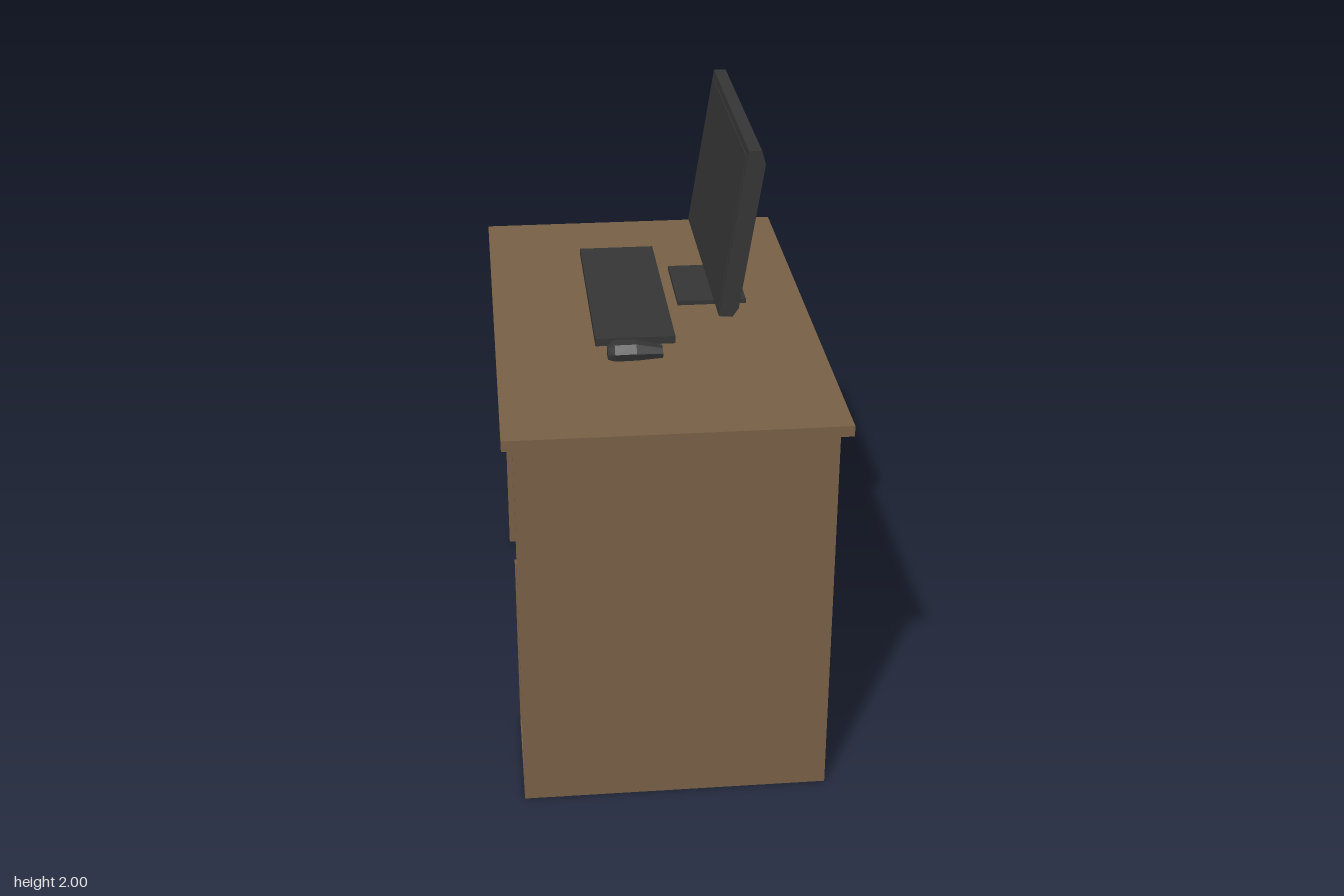
import * as THREE from 'three';
import { ConvexGeometry } from 'three/addons/geometries/ConvexGeometry.js';

export function createModel() {
  const model = new THREE.Group();
  model.name = 'computerDesk';

  const material = (name, color) => {
    const m = new THREE.MeshStandardMaterial({ color });
    m.name = name;
    return m;
  };
  const wood = material('brownWood', 0x7a6147);
  const charcoal = material('charcoalPlastic', 0x363636);

  const add = (name, geometry, mat, parent) => {
    const mesh = new THREE.Mesh(geometry, mat);
    mesh.name = name;
    parent.add(mesh);
    return mesh;
  };
  // Box given by its limits on each axis
  const box = (name, mat, parent, [x0, x1], [y0, y1], [z0, z1]) => {
    const mesh = add(name, new THREE.BoxGeometry(x1 - x0, y1 - y0, z1 - z0), mat, parent);
    mesh.position.set((x0 + x1) / 2, (y0 + y1) / 2, (z0 + z1) / 2);
    return mesh;
  };
  // Side outline in x and y, extruded along z
  const extrude = (name, mat, parent, points, z0, z1) => {
    const shape = new THREE.Shape(points.map(([x, y]) => new THREE.Vector2(x, y)));
    const geometry = new THREE.ExtrudeGeometry(shape, { depth: z1 - z0, bevelEnabled: false });
    return add(name, geometry.translate(0, 0, z0), mat, parent);
  };
  const group = (name) => {
    const g = new THREE.Group();
    g.name = name;
    model.add(g);
    return g;
  };

  // Desk: top, two end panels and a back panel
  const desk = group('desk');
  box('deskTop', wood, desk, [-0.53, 0.53], [1.3, 1.335], [-0.88, 0.88]);
  for (const s of [-1, 1]) {
    const panel = box('endPanel', wood, desk, [-0.495, 0.495], [0, 1.3], [0.815, 0.845]);
    panel.position.z *= s;
  }
  box('backPanel', wood, desk, [0.465, 0.495], [0, 1.3], [-0.815, 0.815]);

  // Open compartment for the computer
  box('compartmentWall', wood, desk, [-0.495, 0.465], [0, 0.655], [0.42, 0.45]);
  box('compartmentFloor', wood, desk, [-0.495, 0.465], [0, 0.03], [0.45, 0.815]);
  box('computerTower', charcoal, model, [-0.45, 0.26], [0.03, 0.73], [0.48, 0.79]);

  // Monitor: leaning bevelled case, screen, neck and foot
  const monitor = group('monitor');
  extrude('monitorCase', charcoal, monitor, [
    [0.193, 1.445], [0.237, 1.441], [0.257, 1.47], [0.333, 1.955], [0.32, 2], [0.279, 2],
  ], -0.6, 0.28);
  const screen = add('screen', new THREE.BoxGeometry(0.006, 0.515, 0.845), charcoal, monitor);
  screen.position.set(0.236, 1.7225, -0.163);
  screen.rotation.z = -0.154;
  extrude('monitorNeck', charcoal, monitor, [
    [0.248, 1.375], [0.278, 1.375], [0.257, 1.47], [0.232, 1.442],
  ], -0.185, -0.13);
  box('monitorFoot', charcoal, monitor, [0.09, 0.322], [1.365, 1.38], [-0.317, -0.003]);

  // Keyboard
  box('keyboard', charcoal, model, [-0.205, 0.057], [1.335, 1.361], [-0.557, 0.236]);

  // Mouse: faceted shell from [x, half width, height] stations
  const points = [];
  const stations = [[-0.172, 0.024, 0.033], [-0.15, 0.044, 0.05], [-0.08, 0.042, 0.05], [0.006, 0.026, 0.03]];
  for (const [x, w, h] of stations) {
    for (const s of [-1, 1]) {
      points.push(
        new THREE.Vector3(x, 0, s * w * 0.85),
        new THREE.Vector3(x, h * 0.5, s * w),
        new THREE.Vector3(x, h, s * w * 0.5),
      );
    }
  }
  add('mouse', new ConvexGeometry(points), charcoal, model).position.set(0, 1.335, 0.322);

  return model;
}
